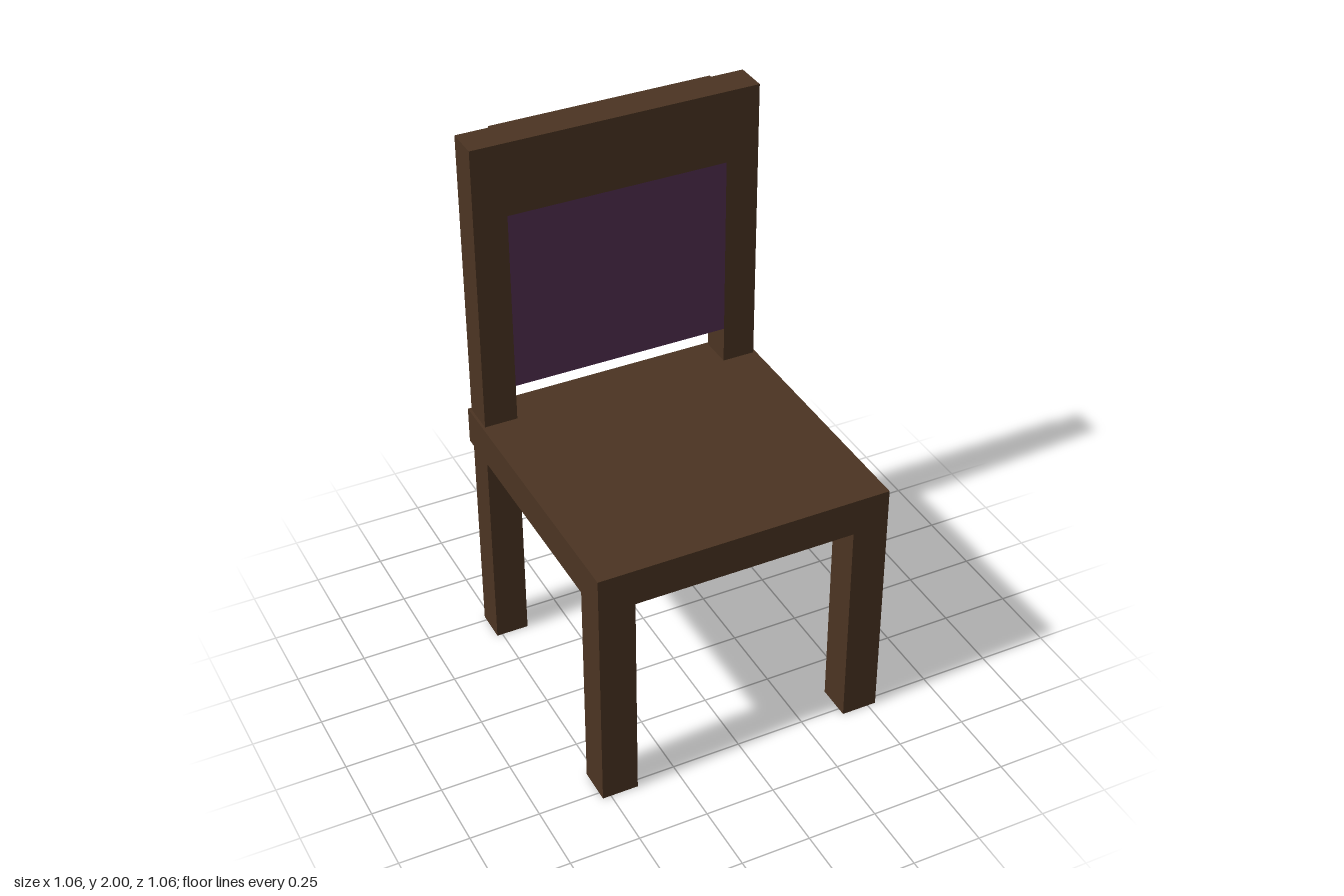
import * as THREE from 'three';

const wood = new THREE.MeshStandardMaterial({ color: 0x4b3422, side: THREE.DoubleSide });
wood.name = 'dark wood';
const fabric = new THREE.MeshStandardMaterial({ color: 0x512e50 });
fabric.name = 'purple fabric';

// Box given by its lower and upper corners
function block(name, material, [x0, y0, z0], [x1, y1, z1], openBottom = false) {
  const geometry = new THREE.BoxGeometry(x1 - x0, y1 - y0, z1 - z0);
  if (openBottom) {
    // Drop the bottom face (fourth of the six sides)
    const index = Array.from(geometry.index.array);
    index.splice(18, 6);
    geometry.setIndex(index);
    geometry.clearGroups();
  }
  const mesh = new THREE.Mesh(geometry, material);
  mesh.name = name;
  mesh.position.set((x0 + x1) / 2, (y0 + y1) / 2, (z0 + z1) / 2);
  return mesh;
}

export function createModel() {
  const chair = new THREE.Group();
  chair.name = 'chair';

  // Square seat slab
  chair.add(block('seat', wood, [-0.53, 0.8, -0.53], [0.53, 0.935, 0.53]));

  // Hollow legs; the rear ones carry on above the seat as back posts
  for (const [side, s] of [['left', 1], ['right', -1]]) {
    const span = (outer) => (s > 0 ? [0.4, outer] : [-outer, -0.4]);
    const [f0, f1] = span(0.53);
    const [r0, r1] = span(0.52);
    chair.add(block(`${side}FrontLeg`, wood, [f0, 0, 0.4], [f1, 0.8, 0.53], true));
    chair.add(block(`${side}RearLeg`, wood, [r0, 0, -0.52], [r1, 0.8, -0.4], true));
    chair.add(block(`${side}BackPost`, wood, [r0, 0.935, -0.52], [r1, 2, -0.4]));
  }

  // Backrest: padded panel under a wooden top rail
  chair.add(block('backPanel', fabric, [-0.4, 1.07, -0.53], [0.4, 1.735, -0.4]));
  chair.add(block('topRail', wood, [-0.4, 1.735, -0.53], [0.4, 2, -0.4]));

  return chair;
}
